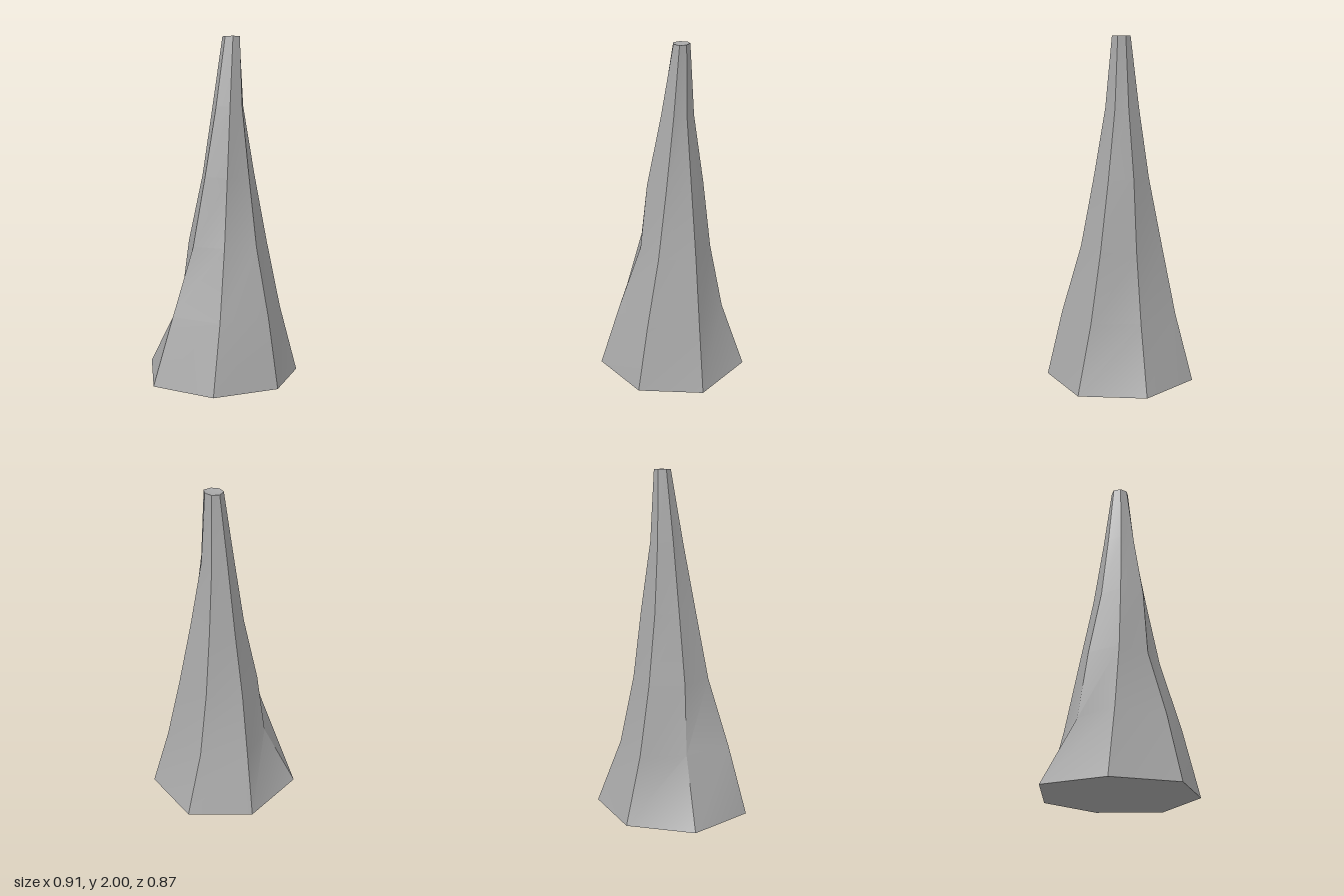
import * as THREE from 'three';
import { toCreasedNormals } from 'three/addons/utils/BufferGeometryUtils.js';

// Seven ridges of the spire: [x, z] at each height, from the foot to the tip
const heights = [0, 0.4, 0.8, 1.2, 1.6, 2];
const ridges = [
  [[0.455, -0.11], [0.31, -0.092], [0.23, -0.075], [0.183, -0.064], [0.13, -0.04], [0.11, -0.025]],
  [[0.36, 0.27], [0.292, 0.19], [0.235, 0.13], [0.178, 0.08], [0.125, 0.037], [0.11, 0.02]],
  [[0.015, 0.435], [0.03, 0.345], [0.045, 0.23], [0.057, 0.155], [0.067, 0.087], [0.083, 0.05]],
  [[-0.34, 0.28], [-0.235, 0.222], [-0.123, 0.14], [-0.084, 0.122], [-0.018, 0.075], [0.04, 0.038]],
  [[-0.455, -0.105], [-0.34, -0.063], [-0.21, -0.03], [-0.13, -0.015], [-0.052, -0.005], [0.018, -0.003]],
  [[-0.205, -0.438], [-0.12, -0.25], [-0.1, -0.195], [-0.053, -0.122], [-0.011, -0.08], [0.035, -0.045]],
  [[0.2, -0.412], [0.138, -0.317], [0.1, -0.24], [0.08, -0.163], [0.074, -0.105], [0.08, -0.055]],
];
// The foot is slightly uneven
const footHeights = [0.015, 0.003, 0.012, 0.01, 0, 0.015, 0.01];

function spireGeometry() {
  const sides = ridges.length, levels = heights.length;
  const positions = [], index = [];
  ridges.forEach((ridge, i) => ridge.forEach(([x, z], k) =>
    positions.push(x, k === 0 ? footHeights[i] : heights[k], z)));
  const id = (i, k) => (i % sides) * levels + k;

  // Side faces
  for (let i = 0; i < sides; i++) {
    for (let k = 0; k < levels - 1; k++) {
      index.push(id(i + 1, k), id(i, k), id(i, k + 1));
      index.push(id(i + 1, k), id(i, k + 1), id(i + 1, k + 1));
    }
  }

  // Foot and slightly dished tip
  const foot = sides * levels, tip = foot + 1;
  positions.push(0, 0.008, 0, 0.068, 1.99, -0.002);
  for (let i = 0; i < sides; i++) {
    index.push(foot, id(i, 0), id(i + 1, 0));
    index.push(tip, id(i + 1, levels - 1), id(i, levels - 1));
  }

  const geometry = new THREE.BufferGeometry();
  geometry.setAttribute('position', new THREE.Float32BufferAttribute(positions, 3));
  geometry.setIndex(index);
  return toCreasedNormals(geometry, 0.52);
}

export function createModel() {
  const group = new THREE.Group();
  group.name = 'rockSpire';
  const stone = new THREE.MeshStandardMaterial({ color: 0xa8a8a8 });
  stone.name = 'grey stone';
  const spire = new THREE.Mesh(spireGeometry(), stone);
  spire.name = 'spire';
  group.add(spire);
  return group;
}
